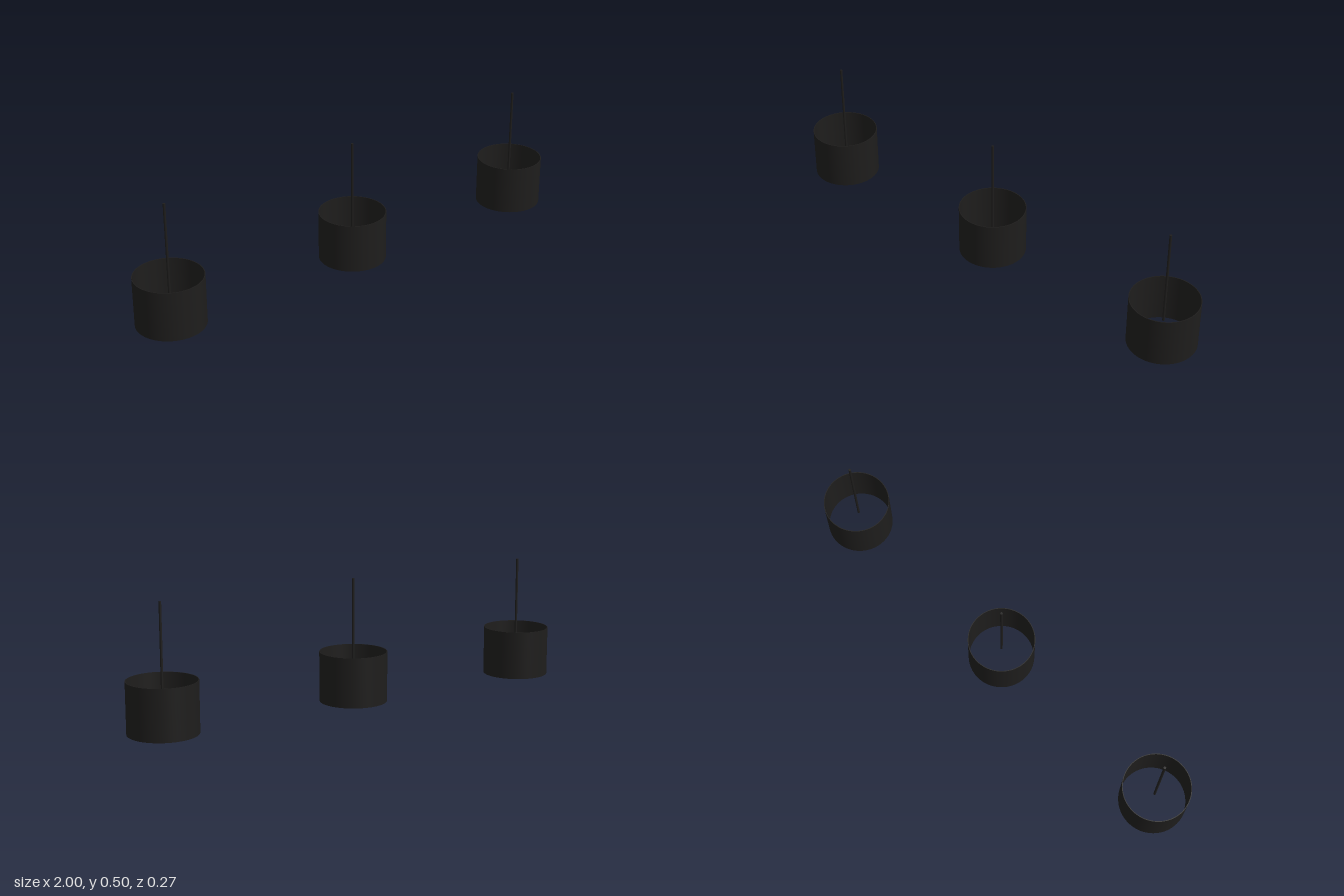
import * as THREE from 'three';

export function createModel() {
  const model = new THREE.Group();
  const black = new THREE.MeshStandardMaterial({ color: 0x1e1d1c, side: THREE.DoubleSide });

  const R = 0.137, H = 0.203, WALL = 0.003;
  const CORD_BOTTOM = 0.1, CORD_TOP = 0.5, CORD_R = 0.005;

  // Thin drum open at both ends: outer wall, top rim, inner wall, bottom rim
  const corners = [[R, 0], [R, H], [R - WALL, H], [R - WALL, 0], [R, 0]];
  const walls = corners.slice(1).map((end, i) =>
    new THREE.LatheGeometry([new THREE.Vector2(...corners[i]), new THREE.Vector2(...end)], 64));
  const wallNames = ['outerWall', 'topRim', 'innerWall', 'bottomRim'];

  // Hanging cord, ending inside the shade
  const cordGeometry = new THREE.CylinderGeometry(CORD_R, CORD_R, CORD_TOP - CORD_BOTTOM, 16);

  // Row of three pendants
  ['right', 'middle', 'left'].forEach((side, i) => {
    const pendant = new THREE.Group();
    pendant.name = side + 'Pendant';
    pendant.position.x = (i - 1) * (1 - R);

    const shade = new THREE.Group();
    shade.name = 'shade';
    walls.forEach((geometry, k) => {
      const wall = new THREE.Mesh(geometry, black);
      wall.name = wallNames[k];
      shade.add(wall);
    });

    const cord = new THREE.Mesh(cordGeometry, black);
    cord.name = 'cord';
    cord.position.y = (CORD_TOP + CORD_BOTTOM) / 2;

    pendant.add(shade, cord);
    model.add(pendant);
  });

  return model;
}
